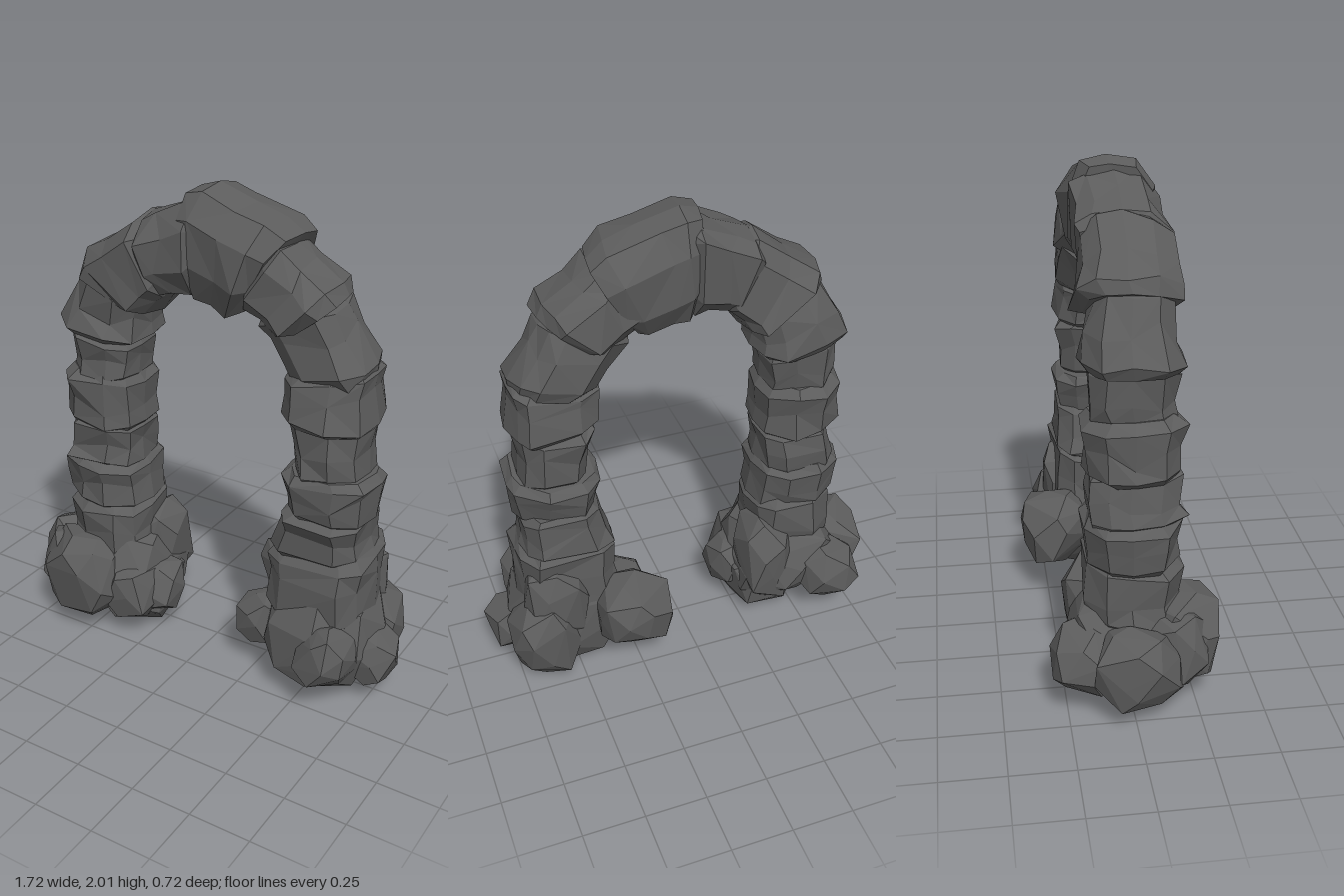
import * as THREE from 'three';
import { ConvexGeometry } from 'three/addons/geometries/ConvexGeometry.js';

let seed = 11;
const rand = () => {
  seed = (seed * 16807) % 2147483647;
  return seed / 2147483647;
};
const jitter = (a) => (rand() - 0.5) * 2 * a;

const material = new THREE.MeshStandardMaterial({ color: 0x5c5c5c, flatShading: true });

// Cross-section of a stone: u runs from inner (-1) to outer (+1), v is depth
const SECTION = [
  [1, -0.1], [0.92, 0.58], [0.5, 0.97], [-0.5, 0.97], [-0.92, 0.6],
  [-1, 0.05], [-0.92, -0.6], [-0.55, -0.97], [0.5, -0.97], [0.9, -0.62],
];
// Position along the stone, width there, and how far the vertices stray along it
const RINGS = [[-0.1, 0.8, 0], [0.06, 0.99, 0.06], [0.45, 0.96, 0.2], [0.92, 1.01, 0.06], [1.1, 0.8, 0]];

// A rough block between two joints, each given as outer x, y and inner x, y;
// d0 and d1 are its half depths at the joints
function stone(ox0, oy0, ix0, iy0, ox1, oy1, ix1, iy1, d0 = 0.185, d1 = 0.185, z = 0.01) {
  const n = SECTION.length, pos = [], index = [];
  const tilt = jitter(0.07);
  // each long edge of the block wanders on its own
  const edges = SECTION.map(([u, v]) => [u + (Math.abs(u) < 0.8 ? jitter(0.22) : 0), v + jitter(0.06)]);
  for (const [t, s, stray] of RINGS) {
    const shift = jitter(0.012);
    edges.forEach(([u, v]) => {
      const tt = t + jitter(stray) + tilt * v;
      const k = (u * (s + jitter(0.05)) + 1) / 2;
      const ox = ox0 + (ox1 - ox0) * tt, oy = oy0 + (oy1 - oy0) * tt;
      const ix = ix0 + (ix1 - ix0) * tt, iy = iy0 + (iy1 - iy0) * tt;
      const depth = d0 + (d1 - d0) * t;
      pos.push(ix + (ox - ix) * k, iy + (oy - iy) * k, z + shift + v * depth * (s + jitter(0.07)));
    });
  }
  for (let i = 0; i < RINGS.length - 1; i++) {
    for (let j = 0; j < n; j++) {
      const a = i * n + j, b = i * n + ((j + 1) % n);
      if (rand() < 0.5) index.push(a, b, b + n, a, b + n, a + n);
      else index.push(a, b, a + n, b, b + n, a + n);
    }
  }
  const last = (RINGS.length - 1) * n;
  for (let j = 1; j < n - 1; j++) {
    index.push(0, j + 1, j, last, last + j, last + j + 1);
  }
  const g = new THREE.BufferGeometry();
  g.setAttribute('position', new THREE.Float32BufferAttribute(pos, 3));
  g.setIndex(index);
  g.computeVertexNormals();
  return g;
}

// A faceted boulder filling the given x, y and z ranges
function boulder(x0, x1, y0, y1, z0, z1, count = 24) {
  const pts = [];
  for (let i = 0; i < count; i++) {
    const y = 1 - (2 * (i + 0.5)) / count, r = Math.sqrt(1 - y * y), a = i * 2.39996;
    const p = new THREE.Vector3(r * Math.cos(a) + jitter(0.18), y + jitter(0.15), r * Math.sin(a) + jitter(0.18));
    // push towards a box for a blockier rock
    pts.push(p.multiplyScalar(1 / Math.pow(Math.max(Math.abs(p.x), Math.abs(p.y), Math.abs(p.z)), 0.4)));
  }
  const box = new THREE.Box3().setFromPoints(pts), size = box.getSize(new THREE.Vector3());
  const lo = new THREE.Vector3(x0, y0, z0), span = new THREE.Vector3(x1 - x0, y1 - y0, z1 - z0);
  pts.forEach((p) => p.sub(box.min).divide(size).multiply(span).add(lo));
  return new ConvexGeometry(pts);
}

// Joints in order from the right foot over the crown to the left foot
const RIGHT_PILLAR = [
  [-0.69, 0.34, -0.31, 0.34, -0.67, 0.59, -0.32, 0.59, 0.2, 0.19],
  [-0.7, 0.59, -0.32, 0.59, -0.7, 0.77, -0.33, 0.77, 0.175, 0.195],
  [-0.69, 0.78, -0.35, 0.77, -0.64, 0.96, -0.34, 0.95, 0.185, 0.17],
  [-0.69, 0.96, -0.33, 0.94, -0.68, 1.17, -0.34, 1.16, 0.175, 0.185],
  [-0.64, 1.17, -0.36, 1.16, -0.65, 1.37, -0.34, 1.31, 0.17, 0.175],
];
const ARCH = [
  [-0.7, 1.39, -0.3, 1.33, -0.55, 1.65, -0.3, 1.51, 0.2, 0.145],
  [-0.58, 1.68, -0.25, 1.46, -0.28, 1.87, -0.16, 1.57, 0.205, 0.175],
  [-0.29, 1.86, -0.2, 1.55, -0.03, 1.98, -0.03, 1.58, 0.18, 0.165],
  [-0.04, 2.02, -0.04, 1.56, 0.34, 1.91, 0.14, 1.52, 0.17, 0.19, 0],
  [0.32, 1.85, 0.16, 1.57, 0.55, 1.69, 0.32, 1.49, 0.17, 0.195],
  [0.54, 1.65, 0.2, 1.53, 0.69, 1.4, 0.36, 1.34, 0.15, 0.17, 0],
];
const LEFT_PILLAR = [
  [0.69, 1.4, 0.33, 1.34, 0.7, 1.18, 0.34, 1.2, 0.16, 0.2],
  [0.68, 1.18, 0.36, 1.19, 0.67, 0.96, 0.41, 0.97, 0.175, 0.17],
  [0.73, 0.96, 0.34, 0.95, 0.7, 0.78, 0.38, 0.79, 0.2, 0.165, 0.015],
  [0.7, 0.79, 0.36, 0.8, 0.7, 0.62, 0.3, 0.61, 0.19, 0.18, 0],
  [0.73, 0.62, 0.29, 0.6, 0.72, 0.34, 0.29, 0.34, 0.185, 0.19, 0],
];

// Rocks heaped round each foot: x, y and z ranges, then the number of corners
const RIGHT_BASE = [
  [-0.74, -0.24, 0.03, 0.46, -0.24, 0.27, 36],
  [-0.56, -0.22, 0, 0.3, -0.17, 0.19],
  [-0.86, -0.62, 0.08, 0.39, -0.16, 0.18],
  [-0.77, -0.48, 0.08, 0.38, -0.31, -0.03],
  [-0.72, -0.36, 0.05, 0.44, 0.04, 0.36, 32],
  [-0.77, -0.5, 0.07, 0.41, 0.04, 0.29],
  [-0.4, -0.16, 0.08, 0.32, -0.08, 0.17],
  [-0.47, -0.24, 0.1, 0.53, -0.24, 0.06],
  [-0.44, -0.22, 0.07, 0.33, 0.02, 0.26],
];
const LEFT_BASE = [
  [0.27, 0.77, 0.01, 0.47, -0.22, 0.25, 36],
  [0.5, 0.74, 0.1, 0.38, 0.06, 0.33],
  [0.64, 0.86, 0.08, 0.3, -0.1, 0.13],
  [0.5, 0.79, 0.02, 0.42, -0.28, 0.0],
  [0.46, 0.72, 0.2, 0.6, -0.24, 0.0],
  [0.11, 0.43, 0.14, 0.46, -0.36, -0.07],
  [0.15, 0.36, 0.09, 0.33, -0.06, 0.16],
];

export function createModel() {
  seed = 11;
  const model = new THREE.Group();
  model.name = 'stoneArch';
  const addPart = (name, piece, make, rows) => {
    const group = new THREE.Group();
    group.name = name;
    rows.forEach((row, i) => {
      const mesh = new THREE.Mesh(make(...row), material);
      mesh.name = piece + (i + 1);
      group.add(mesh);
    });
    model.add(group);
  };
  addPart('rightPillar', 'pillarStone', stone, RIGHT_PILLAR);
  addPart('archRing', 'archStone', stone, ARCH);
  addPart('leftPillar', 'pillarStone', stone, LEFT_PILLAR);
  addPart('rightBase', 'baseRock', boulder, RIGHT_BASE);
  addPart('leftBase', 'baseRock', boulder, LEFT_BASE);
  return model;
}
